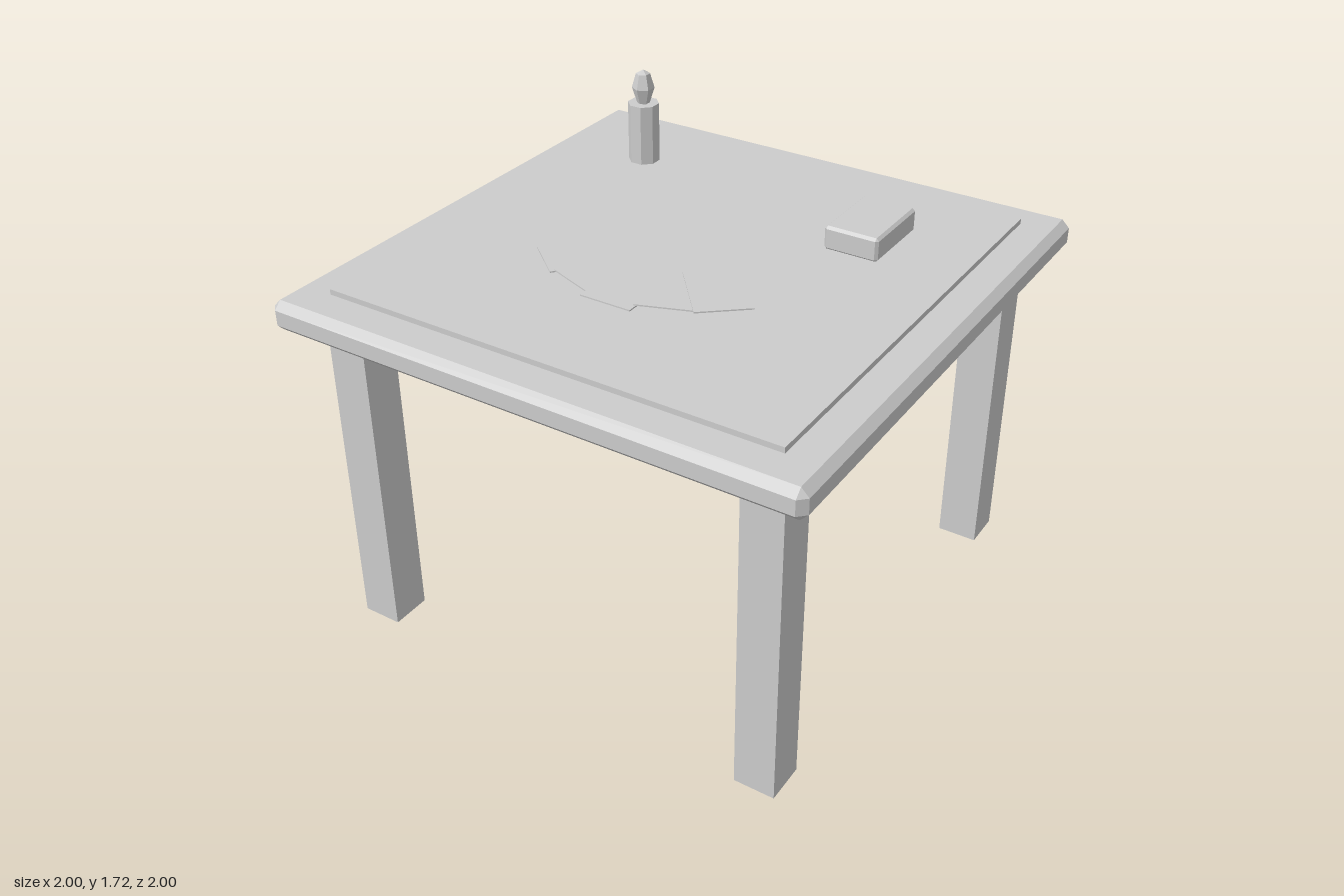
import * as THREE from 'three';
import { ConvexGeometry } from 'three/addons/geometries/ConvexGeometry.js';

const grey = new THREE.MeshStandardMaterial({ color: 0xcccccc });
grey.name = 'plain grey';

// Box with every edge and corner chamfered by b
function chamferBox(w, h, d, b) {
  const points = [];
  for (const x of [-1, 1]) for (const y of [-1, 1]) for (const z of [-1, 1]) {
    for (let axis = 0; axis < 3; axis++) {
      const inset = [b, b, b];
      inset[axis] = 0;
      points.push(new THREE.Vector3(
        x * (w / 2 - inset[0]), y * (h / 2 - inset[1]), z * (d / 2 - inset[2])));
    }
  }
  return new ConvexGeometry(points);
}

// Faceted turned shape from [radius, y] pairs
function faceted(profile, sides, turn) {
  const lathe = new THREE.LatheGeometry(
    profile.map(([r, y]) => new THREE.Vector2(r, y)), sides, turn);
  const flat = lathe.toNonIndexed();
  flat.computeVertexNormals();
  return flat;
}

export function createModel() {
  const model = new THREE.Group();
  model.name = 'cardTable';

  function add(name, geometry, x, y, z) {
    const mesh = new THREE.Mesh(geometry, grey);
    mesh.name = name;
    mesh.position.set(x, y, z);
    model.add(mesh);
    return mesh;
  }

  // Table
  add('tableTop', chamferBox(2, 0.112, 2, 0.028), 0, 1.278, 0);
  add('playingSurface', new THREE.BoxGeometry(1.715, 0.03, 1.715), 0, 1.339, 0);
  for (const [side, x] of [['Left', 0.8], ['Right', -0.8]]) {
    for (const [end, z] of [['front', 0.8], ['back', -0.8]]) {
      add(`${end}${side}Leg`, new THREE.BoxGeometry(0.15, 1.23, 0.15), x, 0.615, z);
    }
  }

  // Candle and flame
  add('candle', faceted([[0, 0], [0.06, 0], [0.06, 0.235], [0, 0.235]], 8, Math.PI / 8),
    -0.575, 1.35, -0.575);
  add('flame', faceted([[0, 0], [0.024, 0], [0.043, 0.06], [0.027, 0.115], [0, 0.13]], 6, 0),
    -0.575, 1.585, -0.575);

  // Deck of cards
  add('deck', chamferBox(0.205, 0.09, 0.3, 0.01), 0.472, 1.395, -0.422);

  // Overlapping fan of five cards, climbing from right to left
  const card = new THREE.BoxGeometry(0.195, 0.005, 0.28);
  for (let i = -2; i <= 2; i++) {
    const mesh = add(`card${i + 3}`, card,
      -0.02 + 0.134 * i, 1.375 + 0.004 * i, 0.34 - 0.058 * Math.abs(i));
    mesh.rotation.y = THREE.MathUtils.degToRad(20 * i);
  }

  return model;
}
